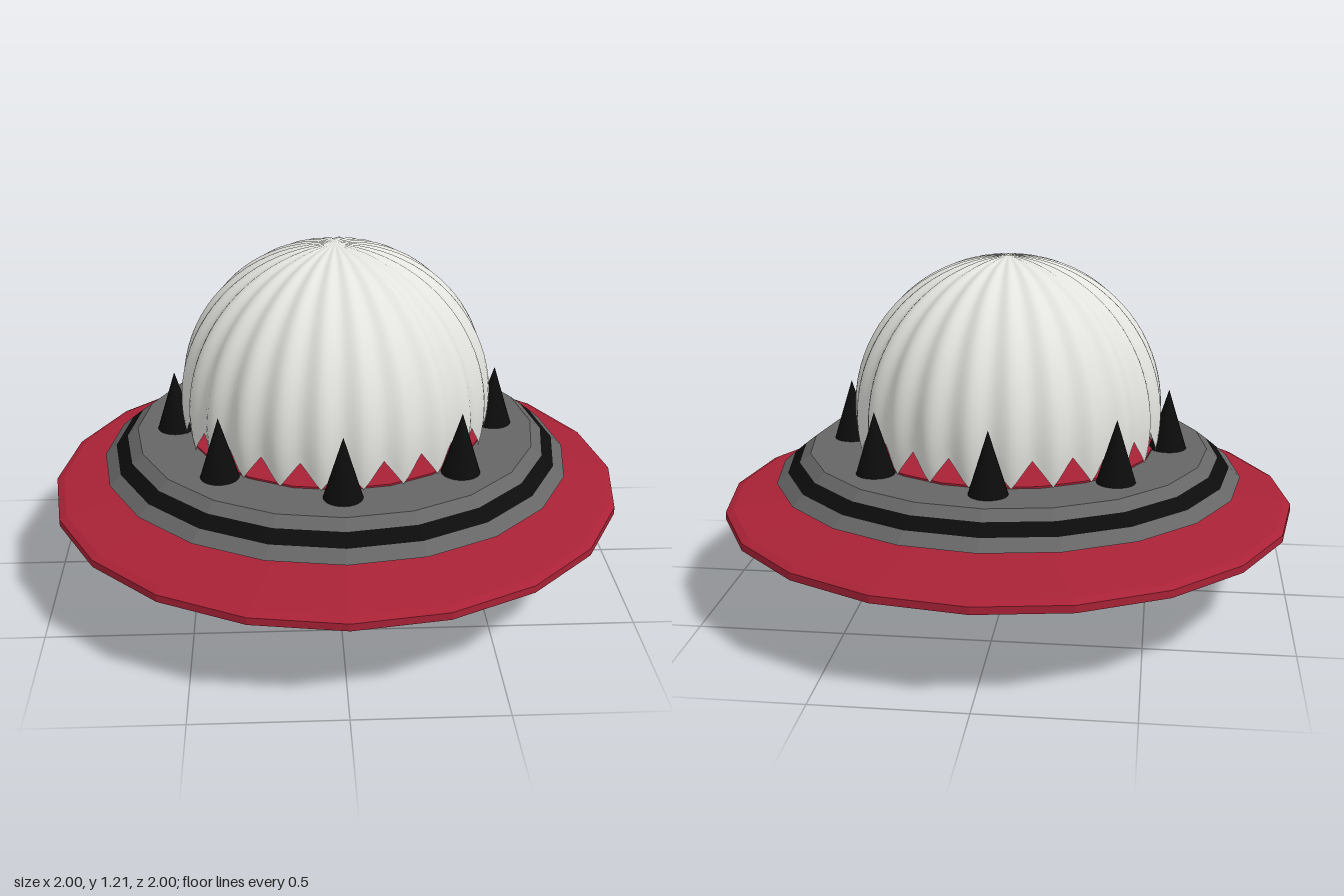
import * as THREE from 'three';
import { mergeVertices } from 'three/addons/utils/BufferGeometryUtils.js';

const SIDES = 20;

function material(name, color, flat = true, side = THREE.FrontSide) {
  const m = new THREE.MeshStandardMaterial({ color, flatShading: flat, side });
  m.name = name;
  return m;
}

export function createModel() {
  const group = new THREE.Group();
  const red = material('red', 0xa92236);
  const ringRed = material('ringRed', 0xa92236, false);
  const grey = material('grey', 0x666666);
  const black = material('black', 0x0c0c0c);
  const spikeBlack = material('spikeBlack', 0x0c0c0c, false);
  const white = material('white', 0xe2e2de, false, THREE.DoubleSide);
  const teal = material('teal', 0x70aeb6);

  function add(name, geometry, mat) {
    const mesh = new THREE.Mesh(geometry, mat);
    mesh.name = name;
    group.add(mesh);
    return mesh;
  }

  // Faceted ring swept from [radius, height] points, listed bottom to top
  function ring(name, points, mat) {
    const profile = points.map(([r, y]) => new THREE.Vector2(r, y));
    return add(name, new THREE.LatheGeometry(profile, SIDES), mat);
  }

  // Lower hull with a recessed lamp in its base
  ring('lampWall', [[0.19, 0.05], [0.19, 0]], white);
  ring('lamp', [[0, 0.05], [0.19, 0.05]], teal);
  ring('base', [[0.19, 0], [0.2, 0], [0.37, 0.08]], black);
  ring('lowerHull', [[0.37, 0.08], [0.63, 0.29]], grey);
  ring('lowerBand', [[0.63, 0.29], [0.68, 0.3]], black);

  // Wide rim
  ring('rim', [[0.68, 0.3], [0.96, 0.307], [1, 0.32], [1, 0.345], [0.975, 0.357], [0.66, 0.392]], red);

  // Upper hull, banded
  ring('upperHull', [[0.67, 0.385], [0.82, 0.44], [0.78, 0.475]], grey);
  ring('upperBand', [[0.78, 0.475], [0.738, 0.51]], black);
  ring('deck', [[0.738, 0.51], [0.7, 0.54], [0.5, 0.54]], grey);
  ring('cabinFloor', [[0.515, 0.54], [0.515, 0.546], [0, 0.546]], red);

  // Fluted dome with a toothed lower edge
  add('dome', domeGeometry(), white);

  // Spikes around the dome
  const spike = new THREE.ConeGeometry(0.065, 0.21, 24);
  for (let i = 0; i < 8; i++) {
    const a = (i * Math.PI) / 4;
    add('spike', spike, spikeBlack).position.set(0.563 * Math.sin(a), 0.645, 0.563 * Math.cos(a));
  }

  // Two rings lying on the slope of the lower hull
  const hoop = new THREE.TorusGeometry(0.06, 0.029, 12, 28);
  for (const degrees of [0, 117]) {
    const a = THREE.MathUtils.degToRad(degrees);
    const out = new THREE.Vector3(Math.cos(a), 0, -Math.sin(a));
    const mesh = add('hullRing', hoop, ringRed);
    mesh.position.copy(out).multiplyScalar(0.545).setY(0.213);
    mesh.lookAt(mesh.position.clone().addScaledVector(out, 0.63).add(new THREE.Vector3(0, -0.78, 0)));
  }

  return group;
}

function domeGeometry() {
  const teeth = 24, around = teeth * 8, rows = 24, centre = 0.67, radius = 0.54;
  const line = Array.from({ length: rows + 1 }, (_, i) => new THREE.Vector2(1, i / rows));
  const geometry = new THREE.LatheGeometry(line, around);
  const pos = geometry.attributes.position;
  for (let i = 0; i < pos.count; i++) {
    const column = Math.floor(i / (rows + 1)) % around;
    const v = (i % (rows + 1)) / rows;
    const phi = (column / around) * Math.PI * 2;
    // Zigzag edge: 1 at a notch, 0 at a tooth tip
    const notch = Math.abs(1 - 2 * ((column / 8) % 1));
    const start = Math.asin((0.543 + 0.09 * notch - centre) / radius);
    const e = start + (Math.PI / 2 - start) * v;
    const r = radius - 0.009 * (1 + Math.cos(teeth * phi)) * Math.cos(e);
    const flat = r * Math.cos(e);
    pos.setXYZ(i, flat * Math.sin(phi), centre + r * Math.sin(e), flat * Math.cos(phi));
  }
  geometry.deleteAttribute('uv');
  geometry.deleteAttribute('normal');
  const merged = mergeVertices(geometry, 1e-5);
  merged.computeVertexNormals();
  return merged;
}
